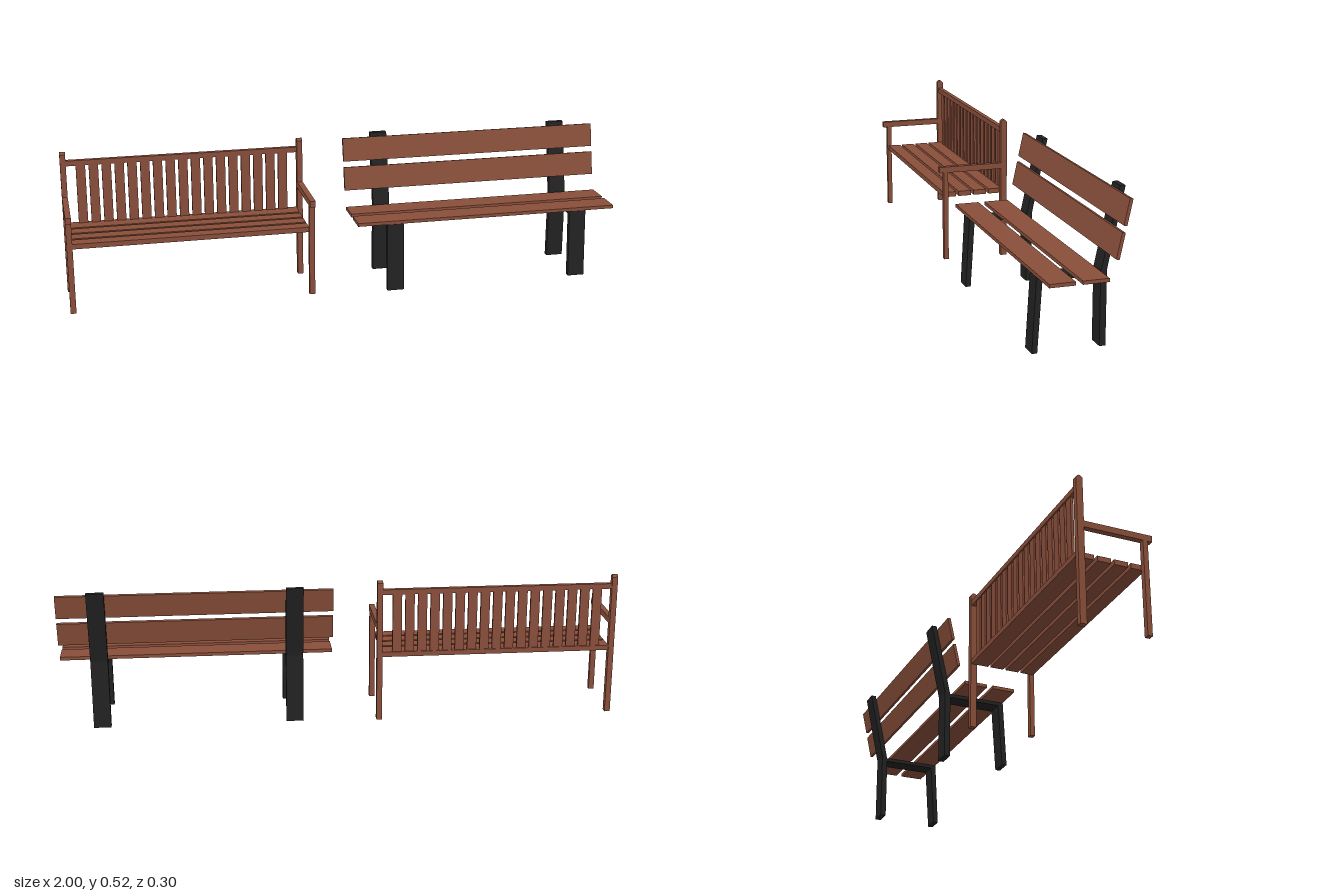
import * as THREE from 'three';

const wood = new THREE.MeshStandardMaterial({ color: 0x8a4f3b });
wood.name = 'reddish wood';
const iron = new THREE.MeshStandardMaterial({ color: 0x222222 });
iron.name = 'black frame';

function add(parent, name, geometry, material) {
  const mesh = new THREE.Mesh(geometry, material);
  mesh.name = name;
  parent.add(mesh);
  return mesh;
}

// Box given by its extents on each axis
function bar(parent, name, [x0, x1], [y0, y1], [z0, z1]) {
  const geometry = new THREE.BoxGeometry(x1 - x0, y1 - y0, z1 - z0);
  geometry.translate((x0 + x1) / 2, (y0 + y1) / 2, (z0 + z1) / 2);
  return add(parent, name, geometry, wood);
}

// Side profile drawn in (z, y), extruded along x about a centre
function sideProfile(shape, width, x) {
  const geometry = new THREE.ExtrudeGeometry(shape, { depth: width, bevelEnabled: false, curveSegments: 8 });
  geometry.translate(0, 0, -width / 2);
  geometry.rotateY(-Math.PI / 2);
  geometry.translate(x, 0, 0);
  return geometry;
}

function createArmchairBench() {
  const bench = new THREE.Group();
  bench.name = 'slattedBenchWithArms';

  // Rear post with a rounded top
  const post = new THREE.Shape();
  post.moveTo(-0.111, 0);
  post.lineTo(-0.088, 0);
  post.lineTo(-0.088, 0.516);
  post.quadraticCurveTo(-0.0995, 0.532, -0.111, 0.516);
  post.closePath();

  // Posts and arms at both ends
  for (const x of [-0.99, -0.14]) {
    const span = [x - 0.01, x + 0.01];
    add(bench, 'rearPost', sideProfile(post, 0.02, x), wood);
    bar(bench, 'frontLeg', span, [0.004, 0.338], [0.118, 0.135]);
    bar(bench, 'armrest', span, [0.338, 0.36], [-0.09, 0.151]);
  }

  // Seat slats
  const inner = [-0.98, -0.15];
  for (let i = 0; i < 4; i++) {
    const z = -0.094 + i * 0.0588;
    bar(bench, 'seatSlat', inner, [0.24, 0.258], [z, z + 0.048]);
  }

  // Back rails and upright slats
  bar(bench, 'lowerBackRail', inner, [0.24, 0.258], [-0.109, -0.094]);
  bar(bench, 'upperBackRail', inner, [0.473, 0.492], [-0.109, -0.092]);
  for (let i = 0; i < 17; i++) {
    const x = -0.929 + i * 0.0454;
    bar(bench, 'backSlat', [x - 0.0165, x + 0.0165], [0.258, 0.473], [-0.105, -0.095]);
  }
  return bench;
}

function createPlankBench() {
  const bench = new THREE.Group();
  bench.name = 'plankBench';

  // Bent frame: front leg, seat bearer, rear leg and leaning back support
  const frame = new THREE.Shape([
    [0.152, 0], [0.138, 0.248], [-0.075, 0.248], [-0.133, 0.518], [-0.151, 0.518],
    [-0.095, 0.252], [-0.095, 0], [-0.074, 0], [-0.074, 0.235], [0.119, 0.235], [0.134, 0],
  ].map(([z, y]) => new THREE.Vector2(z, y)));
  for (const x of [0.166, 0.86]) add(bench, 'frame', sideProfile(frame, 0.062, x), iron);

  // Seat planks
  const span = [0.028, 1];
  bar(bench, 'frontSeatPlank', span, [0.248, 0.26], [0.051, 0.137]);
  bar(bench, 'rearSeatPlank', span, [0.248, 0.26], [-0.059, 0.028]);

  // Leaning back planks
  for (const [y, z] of [[0.358, -0.0933], [0.463, -0.1158]]) {
    const plank = add(bench, 'backPlank', new THREE.BoxGeometry(span[1] - span[0], 0.086, 0.011), wood);
    plank.position.set((span[0] + span[1]) / 2, y, z);
    plank.rotation.x = -0.212;
  }
  return bench;
}

export function createModel() {
  const model = new THREE.Group();
  model.name = 'benches';
  model.add(createArmchairBench(), createPlankBench());
  return model;
}
